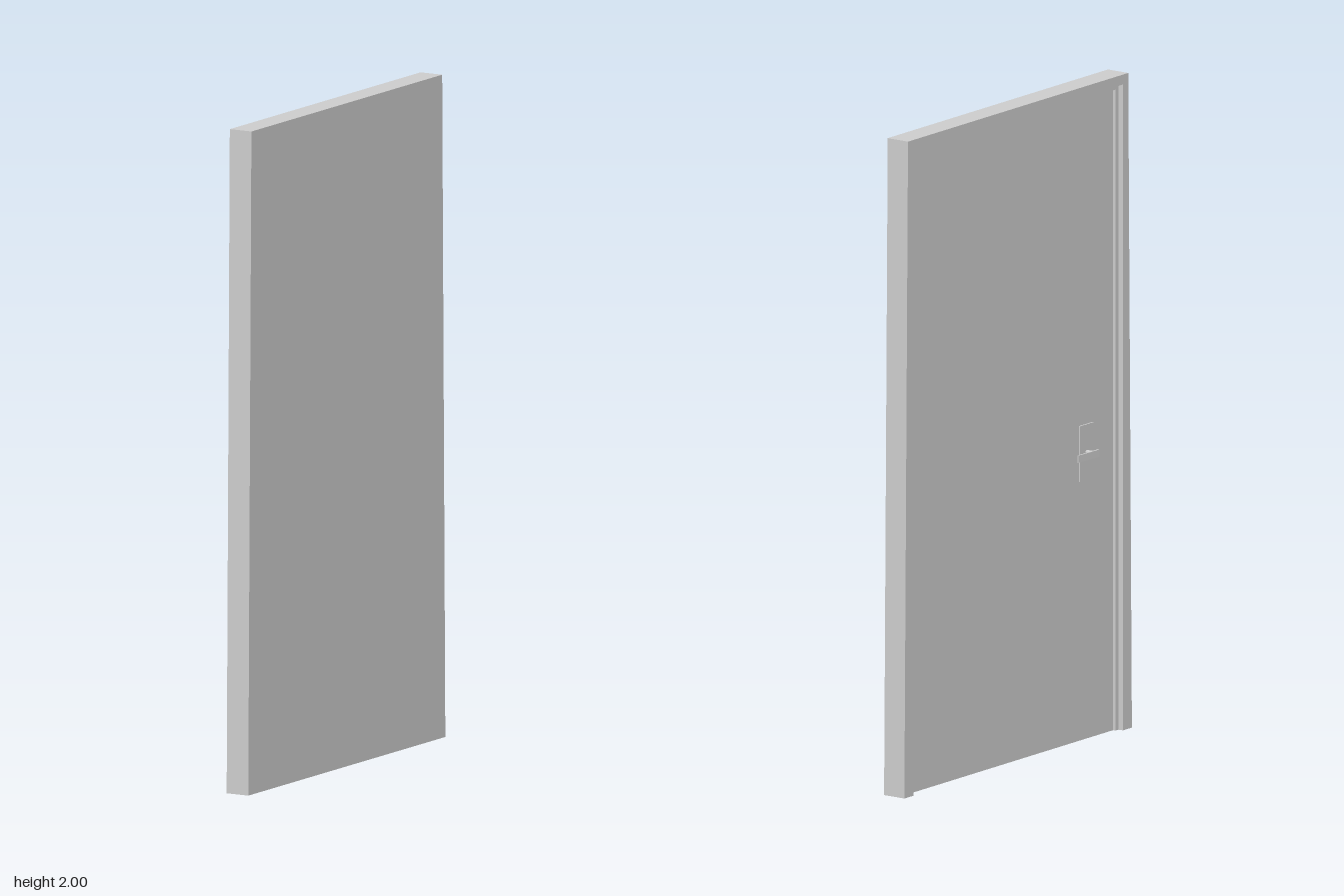
import * as THREE from 'three';

const material = new THREE.MeshStandardMaterial({ color: 0xcccccc, flatShading: true });

// Extrudes an outline drawn in (z, y) between two x positions.
function slab(name, points, xMin, xMax) {
  const shape = new THREE.Shape(points.map(([z, y]) => new THREE.Vector2(z, y)));
  const geometry = new THREE.ExtrudeGeometry(shape, { depth: xMax - xMin, bevelEnabled: false });
  geometry.rotateY(-Math.PI / 2).translate(xMax, 0, 0);
  const mesh = new THREE.Mesh(geometry, material);
  mesh.name = name;
  return mesh;
}

// Upside-down U outline: outer bottom and top half widths, inner half width.
function arch(bottom, top, height, inner, innerHeight) {
  return [
    [-bottom, 0], [-inner, 0], [-inner, innerHeight], [inner, innerHeight],
    [inner, 0], [bottom, 0], [top, height], [-top, height],
  ];
}

export function createModel() {
  const door = new THREE.Group();
  door.name = 'door';

  // Door leaf, with slightly tapering outer sides
  door.add(slab('doorLeaf', [[-0.565, 0], [0.565, 0], [0.547, 2], [-0.547, 2]], -0.005, 0.045));

  // Raised frame and the stepped stop inside it
  door.add(slab('frame', arch(0.565, 0.547, 2, 0.52, 1.97), -0.03, -0.005));
  door.add(slab('doorStop', arch(0.52, 0.52, 1.97, 0.505, 1.955), -0.014, -0.005));

  // Handle: back plate, stem and tapering lever
  const handle = new THREE.Group();
  handle.name = 'handle';
  const plate = new THREE.Mesh(new THREE.BoxGeometry(0.005, 0.17, 0.066), material);
  plate.name = 'backPlate';
  plate.position.set(-0.0075, 0.875, 0.368);

  const stem = new THREE.Mesh(new THREE.CylinderGeometry(0.007, 0.007, 0.035, 12), material);
  stem.name = 'stem';
  stem.rotation.z = Math.PI / 2;
  stem.position.set(-0.0265, 0.875, 0.368);

  const profile = new THREE.Shape([
    new THREE.Vector2(-0.048, -0.38), new THREE.Vector2(-0.041, -0.38),
    new THREE.Vector2(-0.041, -0.28), new THREE.Vector2(-0.045, -0.28),
  ]);
  const leverGeometry = new THREE.ExtrudeGeometry(profile, { depth: 0.022, bevelEnabled: false });
  leverGeometry.rotateX(-Math.PI / 2).translate(0, 0.864, 0);
  const lever = new THREE.Mesh(leverGeometry, material);
  lever.name = 'lever';

  handle.add(plate, stem, lever);
  door.add(handle);
  return door;
}
